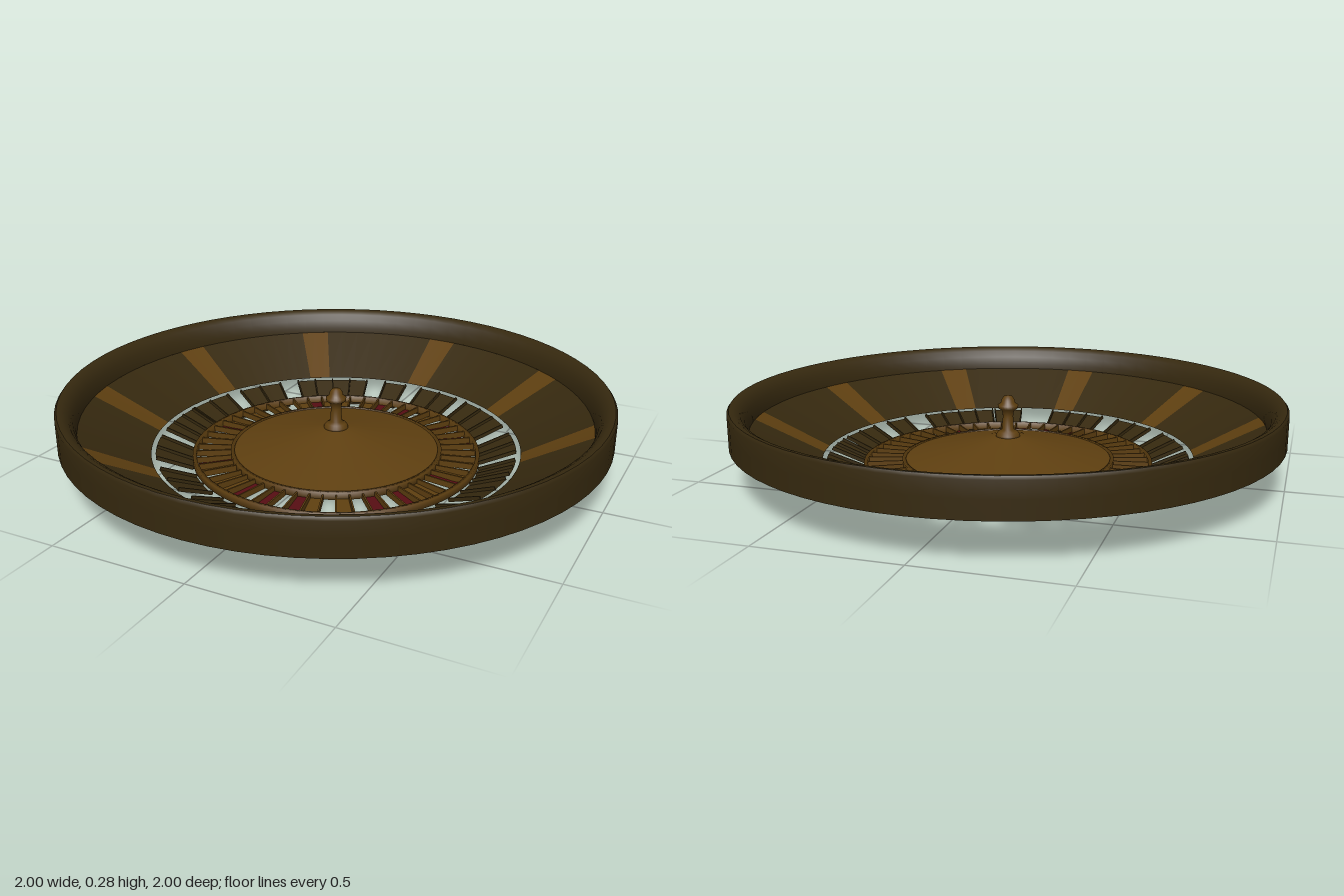
import * as THREE from 'three';

const flat = (name, color) => {
  const m = new THREE.MeshStandardMaterial({ color, side: THREE.DoubleSide });
  m.name = name;
  return m;
};
const RAD = Math.PI / 180;

export function createModel() {
  const model = new THREE.Group();
  model.name = 'rouletteWheel';
  const darkWood = flat('darkWood', 0x36290f);
  const gold = flat('goldenWood', 0x5e3f10);
  const red = flat('pocketRed', 0x560d13);

  // Turned piece; angles run clockwise from the back, seen from above
  const turned = (name, mat, pts, a0 = 0, a1 = 360, segs) => {
    const geo = new THREE.LatheGeometry(
      pts.map(([r, y]) => new THREE.Vector2(r, y)),
      segs ?? Math.max(1, Math.round((a1 - a0) / 4)),
      Math.PI - a1 * RAD, (a1 - a0) * RAD);
    const mesh = new THREE.Mesh(geo, mat);
    mesh.name = name;
    model.add(mesh);
    return mesh;
  };

  // Bowl: underside, outer wall and rounded rim
  turned('bowlUnderside', darkWood, [[0.68, 0.065], [0.70, 0.06], [0.73, 0.063], [1, 0.15]], 0, 360, 72);
  turned('bowlWall', darkWood, [[1, 0.15], [1, 0.215], [1, 0.27], [0.992, 0.28]], 0, 360, 72);
  turned('bowlRim', darkWood,
    [[0.992, 0.28], [0.975, 0.278], [0.955, 0.265], [0.94, 0.24], [0.932, 0.21], [0.93, 0.19]], 0, 360, 72);

  // Sloping ball track with ten inlaid wedges
  for (let i = 0; i < 10; i++) {
    const a = i * 36;
    const slope = [[0.68, 0.065], [0.93, 0.19]];
    turned('trackInlay', gold, slope, a, a + 7);
    turned('trackPanel', darkWood, slope, a + 7, a + 36);
  }

  // Outer rotor blades, with open gaps between the groups
  const blades = [[-8, 0], [6.5, 22], [27, 50], [57, 71], [77, 87.5], [91, 107], [114, 122], [131, 157],
    [158, 168], [180, 200], [207, 223], [231, 248], [254, 272.5], [273.5, 290], [296, 312], [319, 345]];
  for (const [a0, a1] of blades) {
    turned('rotorBlade', darkWood, [[0.53, 0.004], [0.665, 0.06]], a0, a1);
    // Raised dividers splitting each group
    const n = Math.max(1, Math.round((a1 - a0) / 7));
    for (let k = 0; k <= n; k++) {
      const a = a0 + (a1 - a0) * k / n;
      const holder = new THREE.Group();
      holder.name = 'bladeDivider';
      holder.rotation.y = -a * RAD;
      const fin = new THREE.Mesh(new THREE.BoxGeometry(0.005, 0.014, 0.14), darkWood);
      fin.position.set(0, 0.036, -0.597);
      fin.rotation.x = 0.39;
      holder.add(fin);
      model.add(holder);
    }
  }

  // Pocket ring: R red, G golden, W open
  const pockets = 'WRWGWRWRGW' + 'GGWGRWGGRW' + 'RWGWGRWRWR' + 'GGWGRWGWGW' + 'RGWGWGWGRG' + 'GWGR';
  const step = 360 / pockets.length;
  [...pockets].forEach((c, i) => {
    const a = i * step;
    if (c !== 'W') {
      turned('pocketFloor', c === 'R' ? red : gold, [[0.385, 0.025], [0.52, 0.016]], a, a + step, 2);
    }
    const holder = new THREE.Group();
    holder.name = 'pocketFret';
    holder.rotation.y = -a * RAD;
    const fret = new THREE.Mesh(new THREE.BoxGeometry(0.006, 0.022, 0.135), gold);
    fret.position.set(0, 0.03, -0.453);
    holder.add(fret);
    model.add(holder);
  });

  // Bands bounding the pockets
  for (const [name, r, y] of [['outerBand', 0.518, 0.016], ['innerBand', 0.378, 0.022]]) {
    turned(name, gold, [[r, y], [r + 0.014, y], [r + 0.014, y + 0.026], [r, y + 0.026], [r, y]], 0, 360, 72);
  }

  // Central cone
  turned('cone', gold, [[0.38, 0.045], [0.27, 0.07], [0.13, 0.103], [0.02, 0.13]], 0, 360, 64);

  // Spindle with a turned knob
  turned('spindle', gold, [
    [0, 0.118], [0.045, 0.118], [0.045, 0.13], [0.036, 0.142], [0.022, 0.15], [0.019, 0.2], [0.022, 0.22],
    [0.036, 0.23], [0.038, 0.242], [0.026, 0.25], [0.024, 0.262], [0.016, 0.274], [0, 0.279],
  ], 0, 360, 24);

  return model;
}
